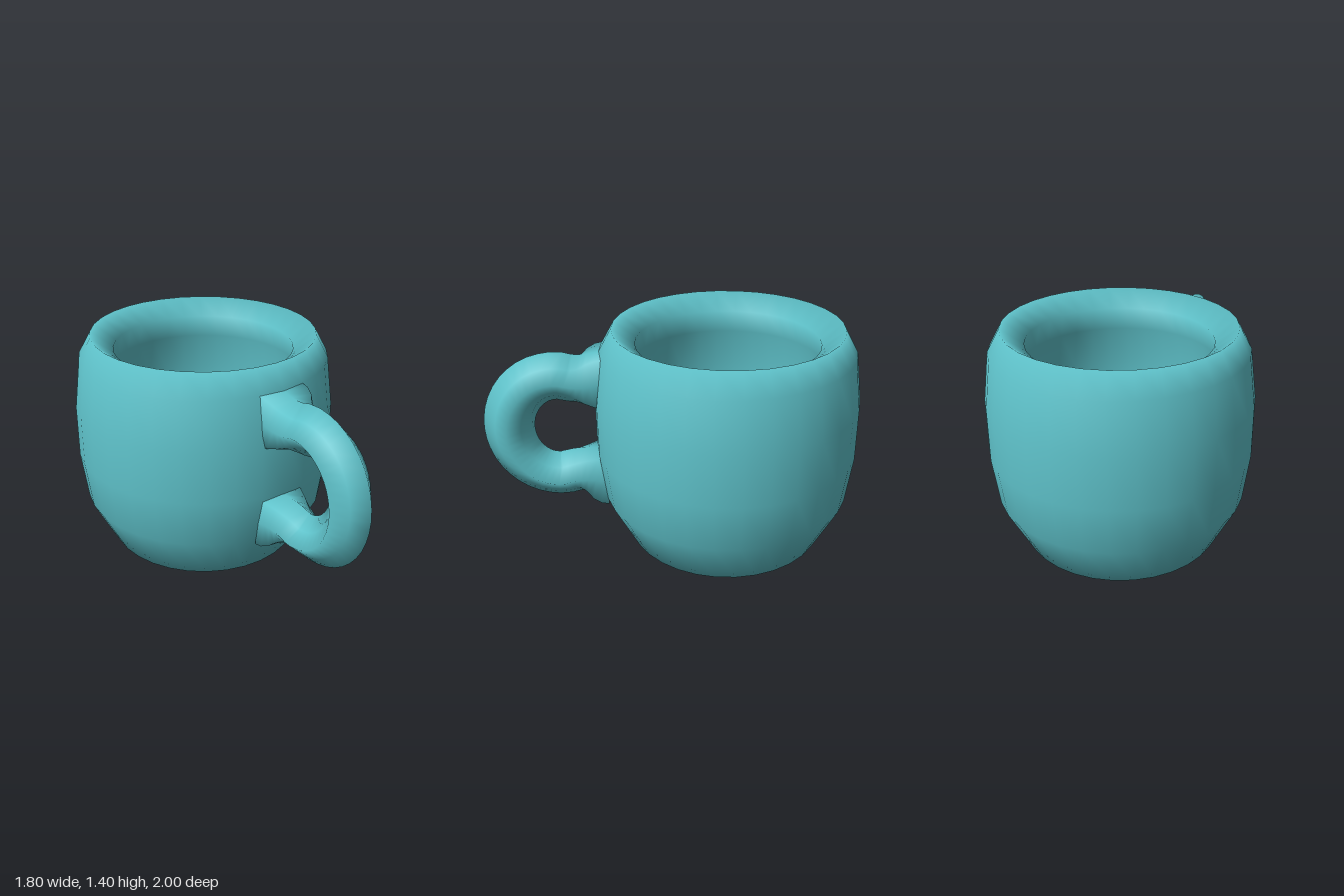
import * as THREE from 'three';

const material = new THREE.MeshStandardMaterial({ color: 0x5fc3cb, side: THREE.DoubleSide });
const v2 = ([x, y]) => new THREE.Vector2(x, y);

// Round body: base, bulging outer wall, sloped rim, undercut inner wall, bowl floor
function makeBody() {
  const profile = [
    [0, 0], [0.628, 0], [0.785, 0.31], [0.825, 0.62], [0.825, 0.95], [0.785, 1.26], [0.707, 1.4],
    [0.567, 1.3], [0.6, 1.15], [0.65, 0.9], [0.65, 0.62], [0.6, 0.36], [0, 0.14],
  ].map(v2);
  const body = new THREE.Mesh(new THREE.LatheGeometry(profile, 32, Math.PI / 32), material);
  body.name = 'cupBody';
  return body;
}

// Loop handle: diamond section swept along a curve, squared off where it meets the wall
function makeHandle() {
  const midY = 0.765, half = 0.157, steps = 36, sides = 8;
  const root = [[0.74, 0.34], [0.87, 0.318], [0.97, 0.322]];
  const path = root.map(([r, y]) => [r, midY + y]);
  for (let i = 0; i <= 8; i++) {
    const a = Math.PI / 2 - (i / 8) * Math.PI;
    path.push([1.06 + 0.306 * Math.cos(a), midY + 0.34 * Math.sin(a)]);
  }
  root.reverse().forEach(([r, y]) => path.push([r, midY - y]));
  const curve = new THREE.SplineCurve(path.map(v2));

  const positions = [], normals = [], index = [];
  for (let i = 0; i <= steps; i++) {
    const p = curve.getPoint(i / steps), t = curve.getTangent(i / steps);
    // 1 at the wall, fading to 0 where the section becomes a pure diamond
    const square = 1 - THREE.MathUtils.smoothstep(p.x, 0.78, 1.0);
    for (let j = 0; j < sides; j++) {
      const a = (j / sides) * Math.PI * 2;
      const corner = THREE.MathUtils.lerp(Math.SQRT1_2, Math.SQRT2, square);
      const size = half * (j % 2 ? corner : 1);
      const n = Math.cos(a), b = Math.sin(a);
      positions.push(p.x - t.y * n * size, p.y + t.x * n * size, b * size);
      normals.push(-t.y * n, t.x * n, b);
      if (i < steps) {
        const k = (j + 1) % sides, r0 = i * sides, r1 = r0 + sides;
        index.push(r0 + j, r0 + k, r1 + j, r0 + k, r1 + k, r1 + j);
      }
    }
  }
  const geometry = new THREE.BufferGeometry();
  geometry.setAttribute('position', new THREE.Float32BufferAttribute(positions, 3));
  geometry.setAttribute('normal', new THREE.Float32BufferAttribute(normals, 3));
  geometry.setIndex(index);
  const handle = new THREE.Mesh(geometry, material);
  handle.name = 'handle';
  handle.rotation.y = -Math.atan2(0.775, 0.63);
  return handle;
}

export function createModel() {
  const mug = new THREE.Group();
  mug.name = 'mug';
  mug.add(makeBody(), makeHandle());
  mug.position.set(-0.085, 0, -0.18);
  const model = new THREE.Group();
  model.add(mug);
  return model;
}
